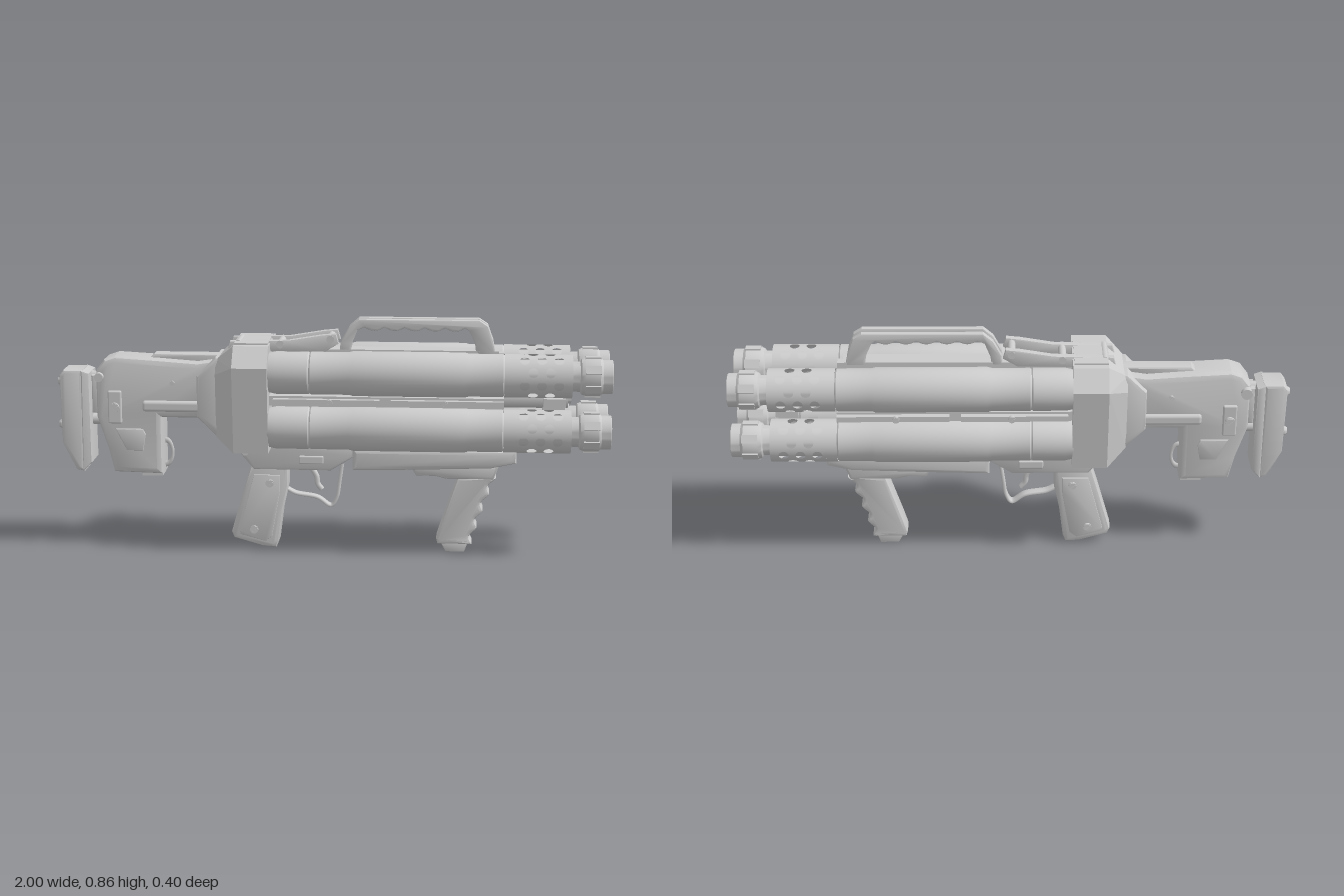
import * as THREE from 'three';
import { toCreasedNormals } from 'three/addons/utils/BufferGeometryUtils.js';
import { ConvexGeometry } from 'three/addons/geometries/ConvexGeometry.js';
import { RoundedBoxGeometry } from 'three/addons/geometries/RoundedBoxGeometry.js';

const grey = new THREE.MeshStandardMaterial({ color: 0xcccccc });
const greyThin = new THREE.MeshStandardMaterial({ color: 0xcccccc, side: THREE.DoubleSide });

export function createModel() {
  const root = new THREE.Group();

  const add = (name, geo, x = 0, y = 0, z = 0, parent = root, mat = grey) => {
    const m = new THREE.Mesh(geo, mat);
    m.name = name;
    m.position.set(x, y, z);
    parent.add(m);
    return m;
  };
  const box = (name, x0, x1, y0, y1, z0, z1, parent) =>
    add(name, new THREE.BoxGeometry(x1 - x0, y1 - y0, z1 - z0), (x0 + x1) / 2, (y0 + y1) / 2, (z0 + z1) / 2, parent);
  // Side outline in x/y, given thickness across z, with bevelled edges
  const plate = (name, pts, width, bevel = 0.01, z = 0) => {
    const shape = new THREE.Shape(pts.map(p => new THREE.Vector2(...p)));
    const geo = new THREE.ExtrudeGeometry(shape, {
      depth: width - 2 * bevel, bevelEnabled: bevel > 0, bevelSize: bevel, bevelThickness: bevel,
      bevelOffset: -bevel, bevelSegments: 2,
    });
    geo.translate(0, 0, -width / 2 + bevel);
    return add(name, toCreasedNormals(geo, 0.5), 0, 0, z);
  };
  // Turned part along x from [x, radius] points
  const turned = (pts, sides = 40) => toCreasedNormals(
    new THREE.LatheGeometry(pts.map(([x, r]) => new THREE.Vector2(r, x)), sides).rotateZ(-Math.PI / 2), 0.5);
  // Slotted screw head facing outward along z
  const screw = (x, y, z, r = 0.015) => {
    const g = new THREE.Group();
    g.name = 'screw';
    add('screwBase', new THREE.CylinderGeometry(r, r, 0.012, 16).rotateX(Math.PI / 2), 0, 0, 0, g);
    const half = new THREE.Shape().absarc(0, 0, r * 0.85, 0.2, Math.PI - 0.2);
    for (const a of [0.7, 0.7 + Math.PI])
      add('screwHead', new THREE.ExtrudeGeometry(half, { depth: 0.004, bevelEnabled: false, curveSegments: 8 }), 0, 0, 0.006, g).rotation.z = a;
    g.position.set(x, y, z);
    if (z < 0) g.rotation.y = Math.PI;
    root.add(g);
  };

  // Perforated jacket: staggered rows of tiles, each with a round hole, wrapped on a cylinder
  const jacketGeometry = (R) => {
    const pos = [], nor = [], rows = 10, w = 2 * Math.PI / rows;
    const put = (x, a) => {
      pos.push(x, R * Math.cos(a), R * Math.sin(a));
      nor.push(0, Math.cos(a), Math.sin(a));
    };
    const quad = (a, b, c, d) => [a, b, c, a, c, d].forEach(p => put(...p));
    const plain = (x0, x1, a) => {
      for (let k = 0; k < 4; k++) {
        const a0 = a + (k / 4 - 0.5) * w, a1 = a0 + w / 4;
        quad([x0, a0], [x0, a1], [x1, a1], [x1, a0]);
      }
    };
    const tile = (x, a) => {
      const N = 24, hx = 0.03, r = 0.0175;
      const at = (i, t) => {
        const c = Math.cos(i / N * 2 * Math.PI), s = Math.sin(i / N * 2 * Math.PI);
        const k = 1 / Math.max(Math.abs(c), Math.abs(s));
        return [x + c * (r + (hx * k - r) * t), a + s * (r / R + (w / 2 * k - r / R) * t)];
      };
      for (let i = 0; i < N; i++) for (const t of [0, 0.5])
        quad(at(i, t), at(i + 1, t), at(i + 1, t + 0.5), at(i, t + 0.5));
    };
    for (let j = 0; j < rows; j++) {
      const a = j * w, n = j % 2 ? 3 : 2, start = j % 2 ? 0.66 : 0.69;
      plain(0.62, start, a);
      for (let i = 0; i < n; i++) tile(start + 0.03 + i * 0.06, a);
      plain(start + n * 0.06, 0.855, a);
    }
    const g = new THREE.BufferGeometry();
    g.setAttribute('position', new THREE.Float32BufferAttribute(pos, 3));
    g.setAttribute('normal', new THREE.Float32BufferAttribute(nor, 3));
    return g;
  };

  // Four barrels
  const tube = turned([[-0.22, 0], [-0.22, 0.07], [-0.19, 0.076], [-0.075, 0.076], [-0.07, 0.072], [-0.065, 0.076],
    [0.07, 0.076], [0.085, 0.08], [0.48, 0.08], [0.495, 0.076], [0.615, 0.076], [0.62, 0.072], [0.62, 0.058],
    [0.86, 0.058]]);
  const jacket = jacketGeometry(0.077);
  const jacketEnd = turned([[0.85, 0.077], [0.858, 0.077], [0.858, 0.054]]);
  const muzzle = turned([[0.855, 0.052], [0.885, 0.054], [0.89, 0.062], [0.905, 0.068], [0.955, 0.068], [0.965, 0.06],
    [0.998, 0.06], [1, 0.058], [1, 0.05], [0.8, 0.045], [0.8, 0]]);
  const lug = new THREE.BoxGeometry(0.055, 0.01, 0.03).translate(0.93, 0.067, 0);
  for (const y of [0.47, 0.67]) for (const z of [-0.1, 0.1]) {
    const barrel = new THREE.Group();
    barrel.name = 'barrel';
    barrel.position.set(0, y, z);
    root.add(barrel);
    add('barrelTube', tube, 0, 0, 0, barrel);
    add('perforatedJacket', jacket, 0, 0, 0, barrel, greyThin);
    add('jacketEnd', jacketEnd, 0, 0, 0, barrel);
    add('muzzle', muzzle, 0, 0, 0, barrel);
    for (let i = 0; i < 6; i++) add('muzzleLug', lug, 0, 0, 0, barrel).rotation.x = i * Math.PI / 3;
  }

  // Core and ribs between the barrels
  add('centreRod', new THREE.CylinderGeometry(0.035, 0.035, 1.06, 8).rotateZ(Math.PI / 2), 0.32, 0.57, 0);
  add('hubScrew', turned([[0.85, 0.018], [0.862, 0.018], [0.862, 0]], 20), 0, 0.57, 0);
  box('horizontalRib', -0.22, 0.62, 0.552, 0.588, -0.115, 0.115);
  box('verticalRib', -0.22, 0.62, 0.39, 0.735, -0.018, 0.018);
  box('frontCrossArm', 0.76, 0.84, 0.555, 0.585, -0.09, 0.09);
  box('frontUprightArm', 0.76, 0.84, 0.48, 0.66, -0.012, 0.012);
  for (const s of [-1, 1]) {
    for (const [a, b] of [[-0.2, 0.18], [0.22, 0.62]]) box('sideRail', a, b, 0.56, 0.58, s * 0.125 - 0.012, s * 0.125 + 0.012);
    for (const x of [0, 0.41]) screw(x, 0.57, s * 0.137, 0.013);
  }

  // Receiver block behind the barrels
  const blockPts = [];
  for (const s of [-1, 1]) {
    for (const x of [-0.34, -0.215])
      for (const [y, z] of [[0.77, 0.138], [0.7, 0.198], [0.385, 0.16]]) blockPts.push(new THREE.Vector3(x, y, s * z));
    for (const [y, z] of [[0.71, 0.08], [0.66, 0.11], [0.43, 0.09]]) blockPts.push(new THREE.Vector3(-0.41, y, s * z));
  }
  add('receiverBlock', new ConvexGeometry(blockPts));
  box('receiverTopPlate', -0.34, -0.22, 0.765, 0.776, -0.11, 0.11);

  // Stock
  plate('stock', [[-0.85, 0.66], [-0.82, 0.7], [-0.78, 0.714], [-0.62, 0.705], [-0.48, 0.695], [-0.38, 0.71],
    [-0.38, 0.42], [-0.41, 0.44], [-0.47, 0.49], [-0.61, 0.49], [-0.61, 0.28], [-0.79, 0.285], [-0.81, 0.37],
    [-0.85, 0.49]], 0.14, 0.022);
  plate('stockCollar', [[-0.48, 0.65], [-0.41, 0.72], [-0.36, 0.72], [-0.36, 0.43], [-0.41, 0.43], [-0.48, 0.5]], 0.19, 0.015);
  plate('stockSpine', [[-0.66, 0.7], [-0.46, 0.665], [-0.4, 0.72], [-0.64, 0.72]], 0.06, 0.008);
  add('stockRod', new RoundedBoxGeometry(0.28, 0.04, 0.17, 2, 0.012), -0.54, 0.535, 0);
  box('stockFootCap', -0.69, -0.615, 0.27, 0.29, -0.045, 0.045);
  for (const s of [-1, 1]) {
    add('stockLatch', new RoundedBoxGeometry(0.05, 0.12, 0.02, 2, 0.006), -0.78, 0.53, s * 0.072);
    screw(-0.78, 0.53, s * 0.086, 0.018);
    screw(-0.57, 0.62, s * 0.07, 0.009);
    plate('stockPanel', [[-0.78, 0.45], [-0.68, 0.45], [-0.67, 0.43], [-0.68, 0.37], [-0.74, 0.37]], 0.012, 0.004, s * 0.07);
  }
  const sling = add('slingLoop', new THREE.TorusGeometry(0.025, 0.006, 8, 20), -0.608, 0.35, 0);
  sling.scale.y = 1.8;

  // Butt plate with link rods and bolts
  plate('buttPad', [[-0.985, 0.64], [-0.97, 0.66], [-0.9, 0.66], [-0.9, 0.285], [-0.93, 0.29], [-0.98, 0.39]], 0.12, 0.012);
  plate('buttFrame', [[-0.905, 0.66], [-0.875, 0.65], [-0.872, 0.32], [-0.905, 0.285]], 0.13, 0.006);
  for (const y of [0.61, 0.45]) {
    add('buttBolt', turned([[-1, 0], [-1, 0.012], [-0.99, 0.018], [-0.97, 0.018]], 20), 0, y, 0);
    add('buttLinkRod', new THREE.CylinderGeometry(0.02, 0.02, 0.1, 16).rotateZ(Math.PI / 2), -0.86, y + 0.02, 0);
  }
  plate('buttLinkPlate', [[-0.87, 0.64], [-0.84, 0.64], [-0.84, 0.5], [-0.87, 0.5]], 0.08, 0.004);
  add('stockKnob', new THREE.CylinderGeometry(0.016, 0.02, 0.18, 16).rotateX(Math.PI / 2), -0.835, 0.64, 0);

  // Lower frame, rear grip and trigger
  plate('lowerFrame', [[-0.35, 0.4], [-0.33, 0.36], [-0.28, 0.3], [0.0, 0.3], [0.08, 0.35], [0.1, 0.4]], 0.1, 0.01);
  plate('rearGrip', [[-0.29, 0.32], [-0.155, 0.32], [-0.155, 0.24], [-0.175, 0.15], [-0.19, 0.03], [-0.2, 0.005],
    [-0.25, 0.008], [-0.355, 0.038], [-0.365, 0.06], [-0.32, 0.22]], 0.085, 0.015);
  for (const s of [-1, 1]) {
    plate('gripPanel', [[-0.28, 0.28], [-0.185, 0.28], [-0.185, 0.22], [-0.215, 0.05], [-0.24, 0.03], [-0.33, 0.055],
      [-0.335, 0.07]], 0.012, 0.003, s * 0.042);
    screw(-0.222, 0.25, s * 0.048);
    screw(-0.28, 0.075, s * 0.048);
    screw(-0.31, 0.365, s * 0.05, 0.012);
    add('selectorSlot', new RoundedBoxGeometry(0.09, 0.03, 0.014, 2, 0.005), -0.07, 0.34, s * 0.05);
  }
  const curve = pts => new THREE.CatmullRomCurve3(pts.map(([x, y]) => new THREE.Vector3(x, y, 0)));
  const guard = add('triggerGuard', new THREE.TubeGeometry(curve([[-0.16, 0.22], [-0.13, 0.205], [-0.05, 0.19], [0, 0.16],
    [0.02, 0.19], [0.03, 0.25], [0.04, 0.32]]), 40, 0.007, 8));
  guard.scale.z = 3;
  const trigger = add('trigger', new THREE.TubeGeometry(curve([[-0.08, 0.31], [-0.055, 0.27], [-0.05, 0.24], [-0.035, 0.22]]), 16, 0.01, 8));
  trigger.scale.z = 1.4;

  // Foregrip rail and its underside
  plate('foreRail', [[0.08, 0.385], [0.67, 0.385], [0.67, 0.34], [0.58, 0.32], [0.3, 0.31], [0.08, 0.305]], 0.13, 0.015);
  plate('foreRailBelly', [[0.29, 0.32], [0.31, 0.285], [0.38, 0.285], [0.42, 0.275], [0.59, 0.275], [0.61, 0.33]], 0.095, 0.012);
  box('foreRailSpacer', 0.1, 0.62, 0.38, 0.42, -0.04, 0.04);

  // Front grip with finger grooves along its leading edge
  const fingers = [];
  for (let i = 0; i <= 32; i++) {
    const t = i / 32;
    fingers.push([0.59 - 0.085 * t - 0.02 * t * (1 - t) + 0.009 * Math.cos(t * 8 * Math.PI), 0.28 - 0.25 * t]);
  }
  plate('frontGrip', [[0.46, 0.28], ...fingers, [0.39, 0.03], [0.385, 0.05], [0.4, 0.1]].reverse(), 0.085, 0.012);
  plate('frontGripCap', [[0.4, 0.035], [0.42, 0], [0.487, 0], [0.5, 0.035]], 0.064, 0.004);

  // Carry handle: two matching side plates with a scalloped underside
  const under = [];
  for (let i = 0; i <= 30; i++) under.push([0.48 - 0.36 * i / 30, 0.825 - 0.012 * Math.abs(Math.sin(i / 30 * 5 * Math.PI))]);
  const handle = [[0.03, 0.73], [0.035, 0.77], [0.065, 0.825], [0.1, 0.855], [0.53, 0.855], [0.56, 0.835], [0.58, 0.78], [0.59, 0.73],
    [0.52, 0.73], [0.515, 0.77], [0.495, 0.815], ...under, [0.095, 0.815], [0.075, 0.765], [0.07, 0.73]];
  for (const s of [-1, 1]) {
    plate('carryHandleSide', handle, 0.026, 0.006, s * 0.023);
    // Rear top rails
    plate('topRail', [[-0.37, 0.74], [-0.36, 0.775], [-0.15, 0.78], [-0.03, 0.8], [0.02, 0.805], [0.03, 0.77], [-0.02, 0.74]],
      0.026, 0.004, s * 0.05);
  }
  box('handleBase', -0.2, 0.6, 0.72, 0.745, -0.036, 0.036);
  for (const [x, y] of [[-0.33, 0.765], [-0.18, 0.765], [0.0, 0.785]])
    add('railCrossPin', new THREE.CylinderGeometry(0.014, 0.014, 0.13, 16).rotateX(Math.PI / 2), x, y, 0);

  return root;
}
